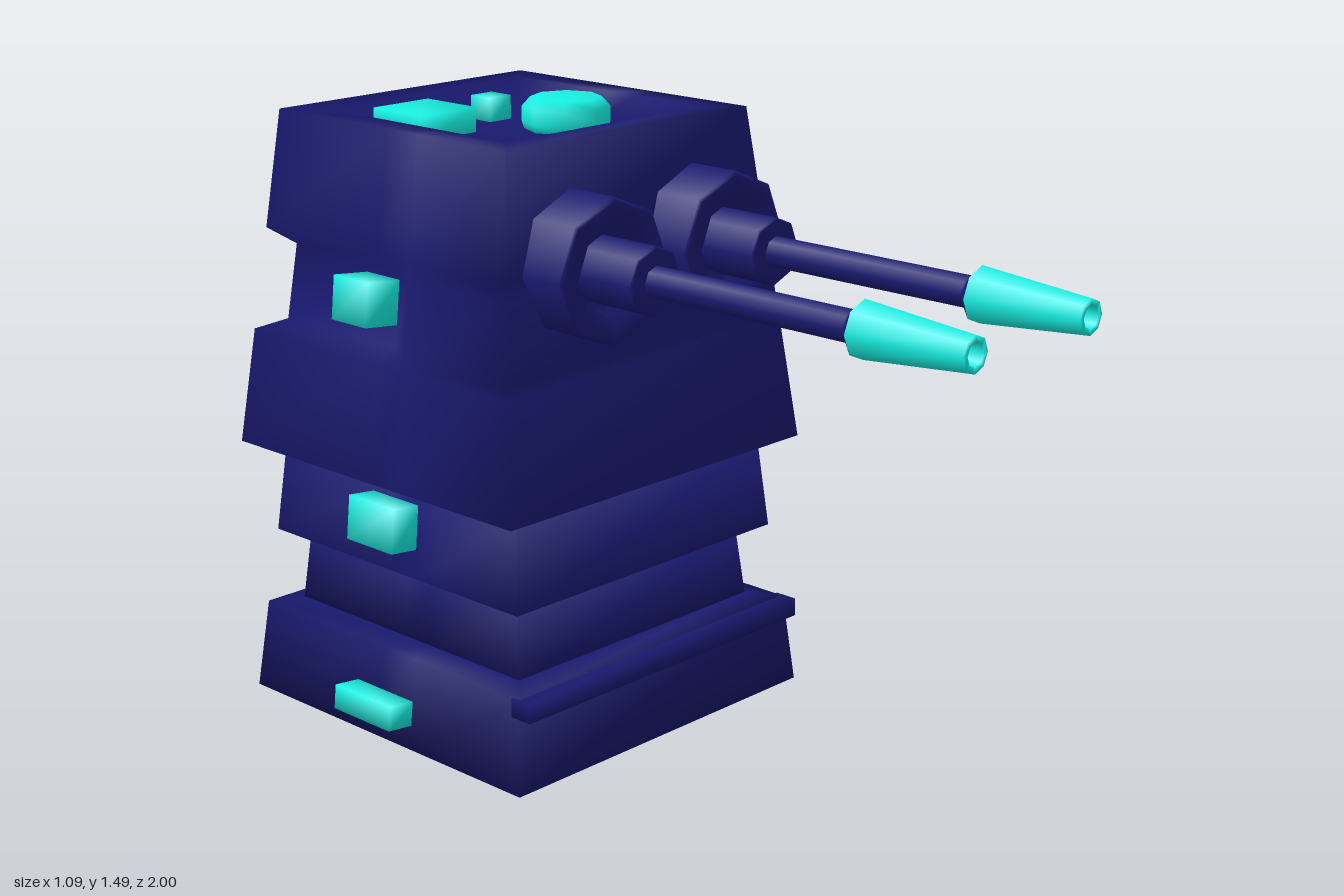
import * as THREE from 'three';
import { mergeVertices } from 'three/addons/utils/BufferGeometryUtils.js';

const navy = new THREE.MeshStandardMaterial({ color: 0x191970, side: THREE.DoubleSide });
const cyan = new THREE.MeshStandardMaterial({ color: 0x16f0e2 });

function addMesh(parent, name, geometry, material, x = 0, y = 0, z = 0) {
  const mesh = new THREE.Mesh(geometry, material);
  mesh.name = name;
  mesh.position.set(x, y, z);
  parent.add(mesh);
  return mesh;
}

// Box with shared corners, so that its shading is soft
function softBox(w, h, d) {
  const g = new THREE.BoxGeometry(w, h, d);
  g.deleteAttribute('normal');
  g.deleteAttribute('uv');
  const merged = mergeVertices(g);
  merged.computeVertexNormals();
  return merged;
}

// Stack of rectangular sections [y, half width, front z, back z, inset of rear sides]
function loft(sections) {
  const pos = [], index = [], n = 8;
  for (const [y, w, front, back, inset = 0] of sections) {
    const side = [[w, front], [w, -0.42], [w - inset, -0.52], [w - inset, back]];
    for (const [x, z] of side) pos.push(x, y, z);
    for (const [x, z] of side.reverse()) pos.push(-x, y, z);
  }
  for (let s = 0; s < sections.length - 1; s++) {
    for (let i = 0; i < n; i++) {
      const a = s * n + i, b = s * n + (i + 1) % n;
      index.push(a, b, b + n, a, b + n, a + n);
    }
  }
  const last = (sections.length - 1) * n;
  for (let i = 1; i < n - 1; i++) {
    index.push(0, i + 1, i);
    index.push(last, last + i, last + i + 1);
  }
  const g = new THREE.BufferGeometry();
  g.setAttribute('position', new THREE.Float32BufferAttribute(pos, 3));
  g.setIndex(index);
  g.computeVertexNormals();
  return g;
}

// Octagonal turned part lying along z, from [radius, z] pairs
function turned(points) {
  const g = new THREE.LatheGeometry(points.map(([r, z]) => new THREE.Vector2(r, z)), 8);
  return g.rotateX(Math.PI / 2);
}

export function createModel() {
  const model = new THREE.Group();
  model.name = 'turret';

  // Tiered base, notched head and sunken roof
  addMesh(model, 'base', loft([
    [0, 0.48, -0.03, -0.99],
    [0.225, 0.455, -0.05, -0.965],
    [0.235, 0.39, -0.12, -0.9],
  ]), navy);
  addMesh(model, 'frontLip', softBox(0.92, 0.045, 0.06), navy, 0, 0.203, -0.043);
  addMesh(model, 'waist', loft([
    [0.23, 0.39, -0.12, -0.905],
    [0.41, 0.373, -0.14, -0.885],
  ]), navy);
  addMesh(model, 'middleTier', loft([
    [0.405, 0.372, -0.14, -0.885],
    [0.415, 0.43, -0.08, -0.945],
    [0.64, 0.408, -0.1, -0.922],
  ]), navy);
  addMesh(model, 'head', loft([
    [0.637, 0.408, -0.1, -0.922],
    [0.645, 0.485, -0.035, -1],
    [0.93, 0.452, -0.067, -0.968],
    [0.955, 0.449, -0.07, -0.91, 0.055],
    [1.14, 0.428, -0.092, -0.89, 0.055],
    [1.18, 0.423, -0.097, -0.94],
    [1.465, 0.39, -0.13, -0.91],
    [1.465, 0.315, -0.21, -0.84],
    [1.41, 0.31, -0.215, -0.835],
  ]), navy);

  // Blocks and domed button on the roof
  addMesh(model, 'roofBlock', softBox(0.17, 0.065, 0.17), cyan, -0.16, 1.437, -0.655);
  addMesh(model, 'smallRoofBlock', softBox(0.068, 0.062, 0.068), cyan, 0.07, 1.437, -0.675);
  const button = [[0, 0], [0.1, 0], [0.106, 0.02], [0.106, 0.055], [0.085, 0.078], [0, 0.078]]
    .map(([r, y]) => new THREE.Vector2(r, y));
  addMesh(model, 'roofButton', new THREE.LatheGeometry(button, 8), cyan, 0.11, 1.408, -0.455);

  // Lights on the sides and back, tilted with the walls
  const lights = [
    ['upperLight', 0.437, 1.07, -0.56, 0.1, 0.105, 0.12],
    ['middleLight', 0.448, 0.543, -0.51, 0.09, 0.108, 0.16],
    ['lowerLight', 0.5, 0.093, -0.51, 0.08, 0.06, 0.2],
  ];
  for (const side of [1, -1]) {
    for (const [name, x, y, z, w, h, d] of lights) {
      addMesh(model, name, softBox(w, h, d), cyan, side * x, y, z).rotation.z = side * 0.11;
    }
  }
  addMesh(model, 'backLight', softBox(0.155, 0.077, 0.1), cyan, 0, 1.06, -0.932).rotation.x = 0.11;

  // Twin guns
  for (const x of [-0.207, 0.187]) {
    const gun = new THREE.Group();
    gun.name = 'gun';
    gun.position.set(x, 1.19, 0);
    model.add(gun);
    addMesh(gun, 'gunMount', turned([
      [0.17, -0.16], [0.17, 0.015], [0.16, 0.02], [0.115, 0.02], [0.1, -0.02], [0.07, -0.02],
    ]), navy);
    addMesh(gun, 'gunCollar', turned([
      [0.08, -0.04], [0.08, 0.14], [0.075, 0.145], [0.03, 0.145],
    ]), navy);
    addMesh(gun, 'gunBarrel', turned([[0.037, 0.13], [0.037, 0.695], [0.064, 0.722]]), navy);
    addMesh(gun, 'muzzle', turned([
      [0.064, 0.722], [0.04, 1], [0.026, 1], [0.026, 0.92],
    ]), cyan);
    addMesh(gun, 'bore', turned([[0.026, 0.92], [0, 0.92]]), navy);
  }
  return model;
}
